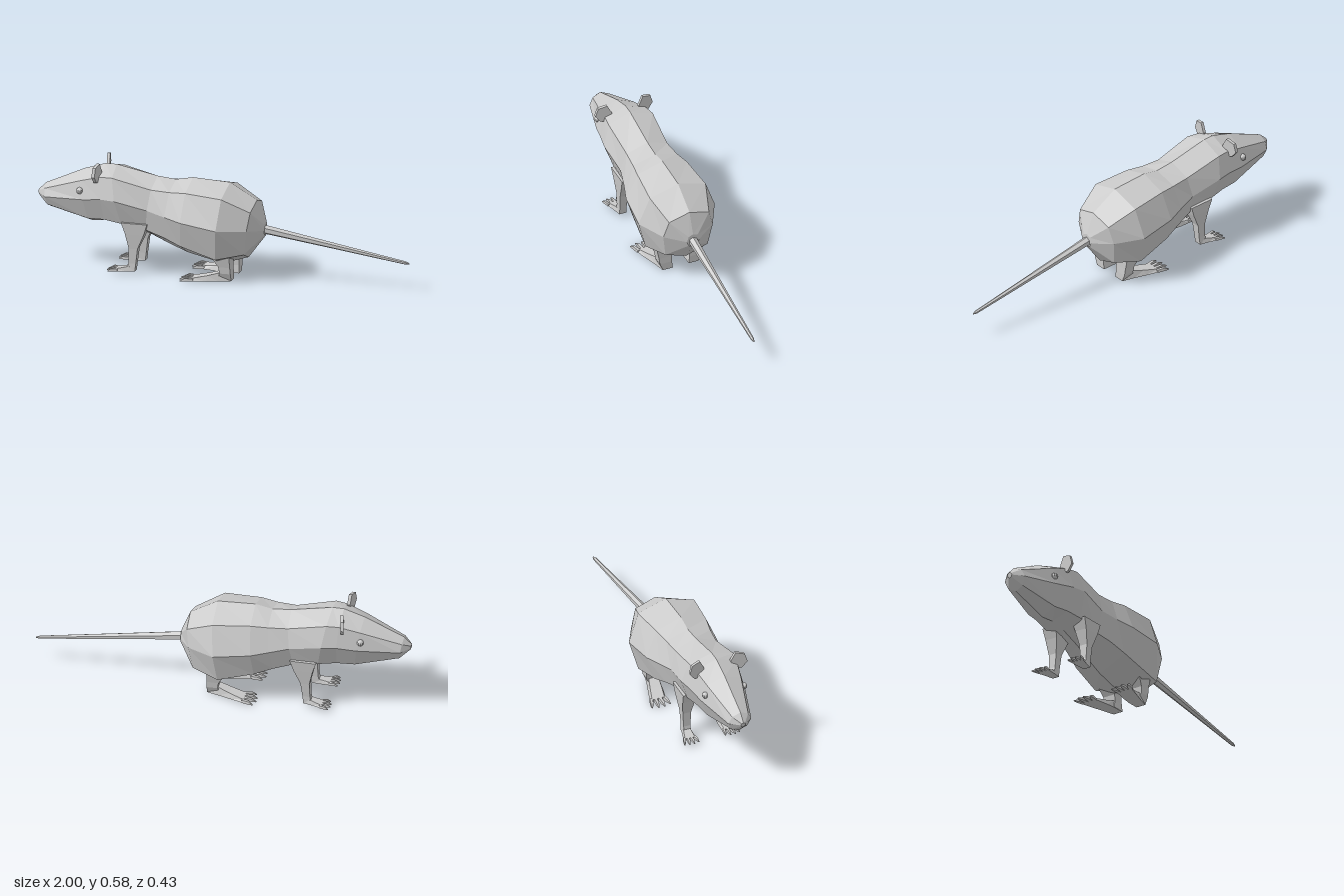
import * as THREE from 'three';

const material = new THREE.MeshStandardMaterial({ color: 0xcccccc, flatShading: true });

// Faceted skin over a list of closed rings of [x, y, z]; side = -1 mirrors it in z.
function loft(name, rings, side = 1) {
  const pos = [];
  const tri = (a, b, c) => {
    for (const p of side > 0 ? [a, b, c] : [a, c, b]) pos.push(p[0], p[1], p[2] * side);
  };
  const n = rings[0].length;
  const mid = (r) => [0, 1, 2].map((i) => r.reduce((s, p) => s + p[i], 0) / n);
  const first = rings[0], last = rings[rings.length - 1];
  for (let k = 0; k < n; k++) {
    const m = (k + 1) % n;
    for (let i = 0; i < rings.length - 1; i++) {
      const r = rings[i], q = rings[i + 1];
      tri(r[k], r[m], q[m]);
      tri(r[k], q[m], q[k]);
    }
    tri(mid(first), first[m], first[k]);
    tri(mid(last), last[k], last[m]);
  }
  const geo = new THREE.BufferGeometry();
  geo.setAttribute('position', new THREE.Float32BufferAttribute(pos, 3));
  geo.computeVertexNormals();
  const mesh = new THREE.Mesh(geo, material);
  mesh.name = name;
  return mesh;
}

// Eight-sided body section, leaning in x from its top to its bottom.
function bodyRing([xTop, xBot, top, upY, upZ, midY, midZ, lowY, lowZ, bot]) {
  const p = (y, z) => [xBot + (xTop - xBot) * (y - bot) / (top - bot), y, z];
  return [p(top, 0), p(upY, upZ), p(midY, midZ), p(lowY, lowZ),
    p(bot, 0), p(lowY, -lowZ), p(midY, -midZ), p(upY, -upZ)];
}

// Leg section seen from above: x range, height, z range.
const legRing = ([x0, x1, y, z0, z1]) =>
  [[x1, y, z0], [x1, y, z1], [x0, y, z1], [x0, y, z0]];

// Foot section seen from the front: x, y range, z centre, half width (top narrower).
const footRing = ([x, y0, y1, z, w]) =>
  [[x, y1, z + w * 0.75], [x, y1, z - w * 0.75], [x, y0, z - w], [x, y0, z + w]];

// Leg, sole and four splayed toes.
function leg(name, side, sections, sole, toeLength) {
  const g = new THREE.Group();
  g.name = name;
  g.add(loft('shin', sections.map(legRing), side));
  g.add(loft('foot', sole.map(footRing), side));
  const [x, y0, y1, z, w] = sole[sole.length - 1];
  for (let i = 0; i < 4; i++) {
    const t = (i - 1.5) / 1.5;
    const len = toeLength * (1 - 0.25 * Math.abs(t));
    const toe = [
      [x + 0.012, y0, y1, z + t * w * 0.75, w * 0.24],
      [x - len * 0.55, y0, y1 + 0.002, z + t * w * 0.95 + 0.003, w * 0.2],
      [x - len, y0, y0 + 0.004, z + t * w * 1.1 + 0.005, w * 0.06],
    ];
    g.add(loft('toe', toe.map(footRing), side));
  }
  return g;
}

export function createModel() {
  const model = new THREE.Group();
  model.name = 'rodent';

  // Body from snout to rump
  const sections = [
    [-1.0, -0.995, 0.385, 0.38, 0.01, 0.37, 0.014, 0.36, 0.01, 0.355],
    [-0.96, -0.94, 0.425, 0.405, 0.045, 0.365, 0.065, 0.32, 0.045, 0.3],
    [-0.75, -0.71, 0.52, 0.48, 0.095, 0.385, 0.125, 0.275, 0.085, 0.24],
    [-0.64, -0.62, 0.555, 0.512, 0.115, 0.4, 0.145, 0.28, 0.1, 0.25],
    [-0.58, -0.52, 0.555, 0.515, 0.125, 0.4, 0.16, 0.27, 0.115, 0.235],
    [-0.36, -0.4, 0.51, 0.465, 0.115, 0.36, 0.145, 0.245, 0.11, 0.195],
    [-0.26, -0.3, 0.5, 0.463, 0.125, 0.34, 0.17, 0.22, 0.135, 0.15],
    [-0.17, -0.2, 0.518, 0.47, 0.14, 0.325, 0.2, 0.185, 0.155, 0.11],
    [0.03, -0.01, 0.508, 0.458, 0.158, 0.3, 0.216, 0.132, 0.17, 0.065],
    [0.175, 0.13, 0.422, 0.385, 0.113, 0.29, 0.14, 0.157, 0.12, 0.11],
    [0.22, 0.222, 0.31, 0.3, 0.025, 0.27, 0.035, 0.245, 0.025, 0.235],
  ];
  model.add(loft('body', sections.map(bodyRing)));

  // Tapering six-sided tail
  const tailRing = ([x, y, r]) => Array.from({ length: 6 }, (_, k) => {
    const a = k * Math.PI / 3;
    return [x, y + r * Math.cos(a), r * Math.sin(a)];
  });
  model.add(loft('tail',
    [[0.19, 0.272, 0.026], [0.23, 0.266, 0.024], [0.6, 0.208, 0.016], [0.975, 0.149, 0.009], [0.995, 0.146, 0.003]].map(tailRing)));

  const earOutline = [[0.58, 0.1], [0.567, 0.148], [0.52, 0.162], [0.485, 0.135], [0.48, 0.09], [0.53, 0.075]];
  for (const side of [1, -1]) {
    // Thin, slightly turned ear
    const ear = [-0.01, 0.006].map((dx) =>
      earOutline.map(([y, z]) => [-0.652 + dx - (z - 0.11) * 0.2, y, z]));
    model.add(loft('ear', ear, side));

    // Eye
    const eye = new THREE.Mesh(new THREE.SphereGeometry(0.018, 10, 8), material);
    eye.name = 'eye';
    eye.position.set(-0.75, 0.428, 0.108 * side);
    model.add(eye);

    // Front leg
    model.add(leg('frontLeg', side,
      [[-0.52, -0.38, 0.28, 0.05, 0.135], [-0.5, -0.4, 0.22, 0.06, 0.13],
        [-0.482, -0.435, 0.14, 0.075, 0.122], [-0.485, -0.445, 0.06, 0.08, 0.118], [-0.495, -0.45, 0.018, 0.08, 0.12]],
      [[-0.455, 0.018, 0.04, 0.1, 0.02], [-0.49, 0.018, 0.042, 0.102, 0.026], [-0.55, 0.018, 0.03, 0.11, 0.036]], 0.05));

    // Hind leg
    model.add(leg('hindLeg', side,
      [[-0.06, 0.06, 0.17, 0.04, 0.14], [0.0, 0.062, 0.08, 0.05, 0.122],
        [0.005, 0.064, 0.045, 0.05, 0.118], [-0.01, 0.064, 0.003, 0.045, 0.1]],
      [[0.06, 0.002, 0.04, 0.075, 0.027], [0.0, 0.002, 0.045, 0.082, 0.036],
        [-0.06, 0.002, 0.03, 0.095, 0.042], [-0.14, 0.002, 0.016, 0.115, 0.046]], 0.07));
  }
  return model;
}
